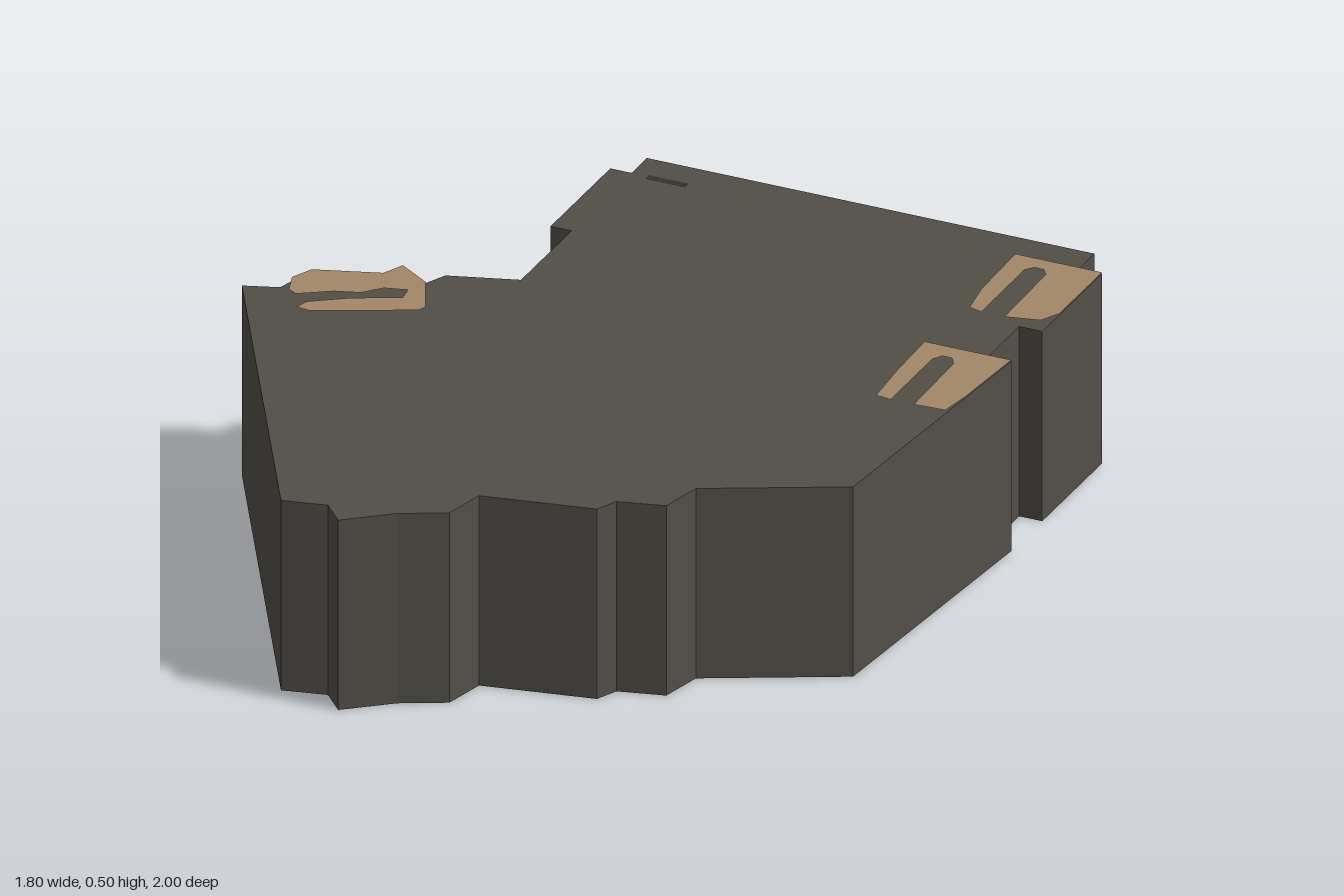
import * as THREE from 'three';

const HEIGHT = 0.5;

// Plan outline as [x, z], clockwise seen from above
const OUTLINE = [
  [-0.32, -1], [0.84, -1], [0.84, -0.915], [0.9, -0.915], [0.9, -0.585], [0.84, -0.585],
  [0.84, -0.415], [0.9, -0.415], [0.84, 0.33], [0.51, 0.495], [0.485, 0.605], [0.37, 0.635],
  [0.345, 0.69], [0.065, 0.745], [0.04, 0.855], [-0.07, 0.91], [-0.18, 1], [-0.235, 0.94],
  [-0.345, 0.965], [-0.9, 0], [-0.815, -0.03], [-0.785, -0.14], [-0.625, -0.195],
  [-0.6, -0.25], [-0.515, -0.195], [-0.49, -0.25], [-0.32, -0.305], [-0.32, -0.585],
  [-0.375, -0.585], [-0.375, -0.915], [-0.32, -0.915],
];

// Tan roof panels, each with an open slot
const PANELS = {
  rearSidePanel: [
    [0.675, -0.915], [0.9, -0.915], [0.9, -0.68], [0.875, -0.63], [0.79, -0.61], [0.785, -0.85],
    [0.77, -0.87], [0.745, -0.87], [0.73, -0.85], [0.73, -0.61], [0.695, -0.62], [0.68, -0.72],
  ],
  middleSidePanel: [
    [0.675, -0.415], [0.9, -0.415], [0.883, -0.2], [0.87, -0.115], [0.79, -0.11], [0.785, -0.34],
    [0.77, -0.365], [0.745, -0.365], [0.73, -0.34], [0.73, -0.11], [0.69, -0.115], [0.68, -0.25],
  ],
  angledPanel: [
    [-0.81, -0.085], [-0.785, -0.14], [-0.625, -0.195], [-0.6, -0.25], [-0.515, -0.195],
    [-0.46, -0.075], [-0.47, -0.055], [-0.7, 0.055], [-0.735, 0.05], [-0.725, 0.015],
    [-0.64, -0.045], [-0.53, -0.1], [-0.535, -0.14], [-0.59, -0.125], [-0.63, -0.08],
    [-0.69, -0.06], [-0.765, -0.01], [-0.79, -0.025],
  ],
};

// Flat horizontal face from [x, z] points
function flatFace(points, y) {
  const shape = new THREE.Shape(points.map(([x, z]) => new THREE.Vector2(x, -z)));
  return new THREE.ShapeGeometry(shape).rotateX(-Math.PI / 2).translate(0, y, 0);
}

// One quad per outline edge, open at the bottom
function wallGeometry(points, h) {
  const pos = [];
  points.forEach(([ax, az], i) => {
    const [bx, bz] = points[(i + 1) % points.length];
    pos.push(ax, 0, az, ax, h, az, bx, h, bz);
    pos.push(ax, 0, az, bx, h, bz, bx, 0, bz);
  });
  const g = new THREE.BufferGeometry();
  g.setAttribute('position', new THREE.Float32BufferAttribute(pos, 3));
  g.computeVertexNormals();
  return g;
}

export function createModel() {
  const group = new THREE.Group();
  const material = (name, color) => {
    const m = new THREE.MeshStandardMaterial({ color, side: THREE.DoubleSide });
    m.name = name;
    return m;
  };
  const stone = material('darkStone', 0x524e48);
  const tan = material('tan', 0xa38767);
  const grey = material('lightGrey', 0x8f8c87);

  const add = (name, geometry, mat) => {
    const mesh = new THREE.Mesh(geometry, mat);
    mesh.name = name;
    group.add(mesh);
    return mesh;
  };

  // Hollow block: walls and flat roof
  add('walls', wallGeometry(OUTLINE, HEIGHT), stone);
  add('roof', flatFace(OUTLINE, HEIGHT), stone);

  // Painted roof panels
  for (const [name, points] of Object.entries(PANELS)) {
    add(name, flatFace(points, HEIGHT + 0.003), tan);
  }

  // Thin pale marks near the rear corner
  for (const z of [-0.915, -0.905]) {
    const mark = add('roofMark', new THREE.BoxGeometry(0.1, 0.003, 0.004), grey);
    mark.position.set(-0.225, HEIGHT + 0.0015, z);
  }

  return group;
}
